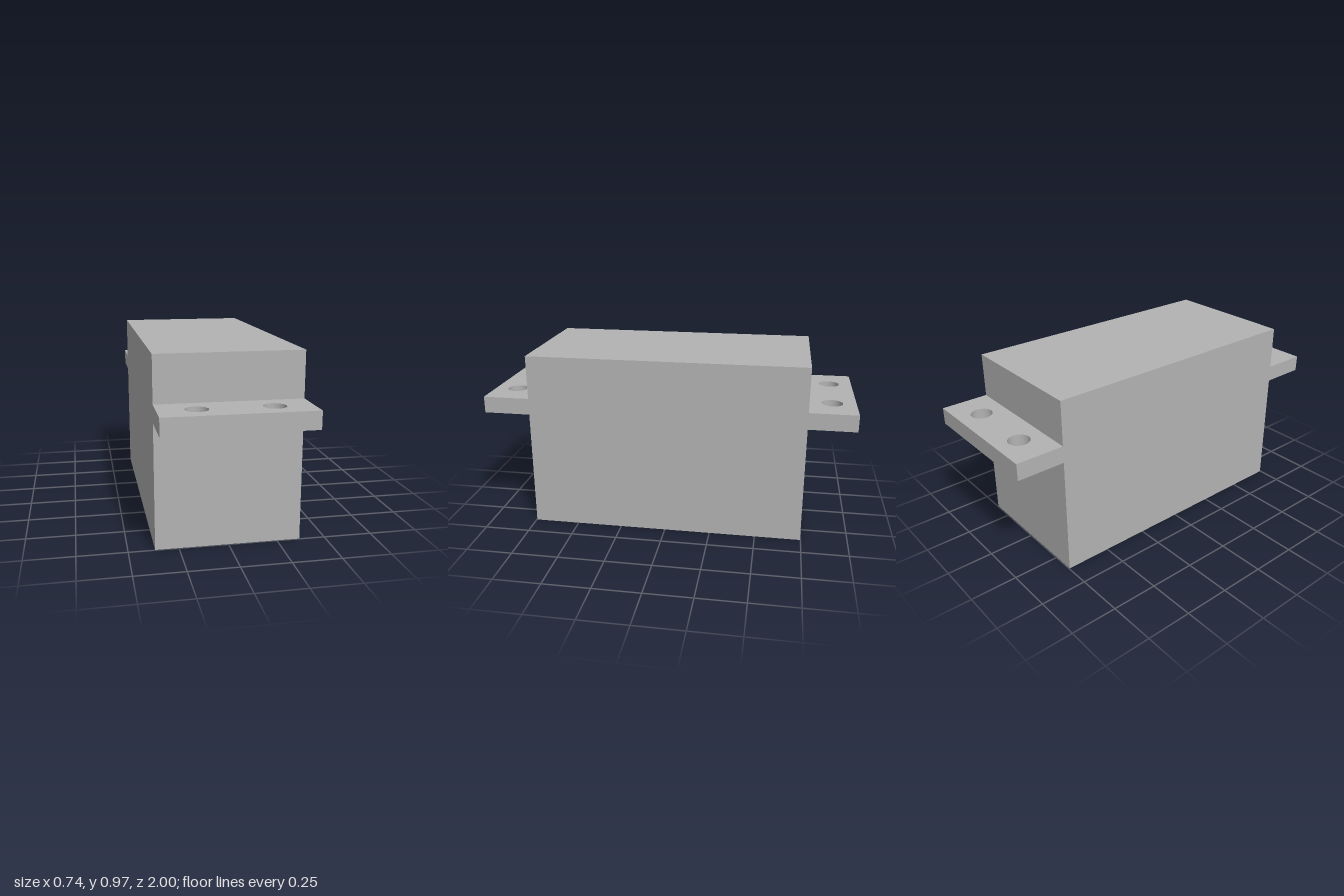
import * as THREE from 'three';

const HALF_WIDTH = 0.368, HEIGHT = 0.967, HALF_LENGTH = 0.747;
const TAB_BOTTOM = 0.64, TAB_THICKNESS = 0.09, TAB_END = 1;
const HOLE_X = 0.183, HOLE_Z = 0.874, HOLE_RADIUS = 0.056;

// Flat mounting tab with two screw holes, drawn in plan and extruded upward
function createTab(material) {
  const shape = new THREE.Shape();
  shape.moveTo(-HALF_WIDTH, -TAB_END);
  shape.lineTo(HALF_WIDTH, -TAB_END);
  shape.lineTo(HALF_WIDTH, -HALF_LENGTH);
  shape.lineTo(-HALF_WIDTH, -HALF_LENGTH);
  shape.closePath();
  for (const side of [-1, 1]) {
    const hole = new THREE.Path();
    hole.absarc(side * HOLE_X, -HOLE_Z, HOLE_RADIUS, 0, Math.PI * 2, true);
    shape.holes.push(hole);
  }
  const geometry = new THREE.ExtrudeGeometry(shape, {
    depth: TAB_THICKNESS, bevelEnabled: false, curveSegments: 40,
  });
  geometry.rotateX(-Math.PI / 2);
  geometry.translate(0, TAB_BOTTOM, 0);
  return new THREE.Mesh(geometry, material);
}

export function createModel() {
  const group = new THREE.Group();
  group.name = 'servoMotor';
  const grey = new THREE.MeshStandardMaterial({ color: 0xb3b3b3 });
  grey.name = 'grey';

  // Rectangular housing
  const housing = new THREE.Mesh(
    new THREE.BoxGeometry(HALF_WIDTH * 2, HEIGHT, HALF_LENGTH * 2), grey);
  housing.name = 'housing';
  housing.position.y = HEIGHT / 2;
  group.add(housing);

  // Mounting tabs at both ends
  const frontTab = createTab(grey);
  frontTab.name = 'frontMountingTab';
  const backTab = createTab(grey);
  backTab.name = 'backMountingTab';
  backTab.rotation.y = Math.PI;
  group.add(frontTab, backTab);

  return group;
}
